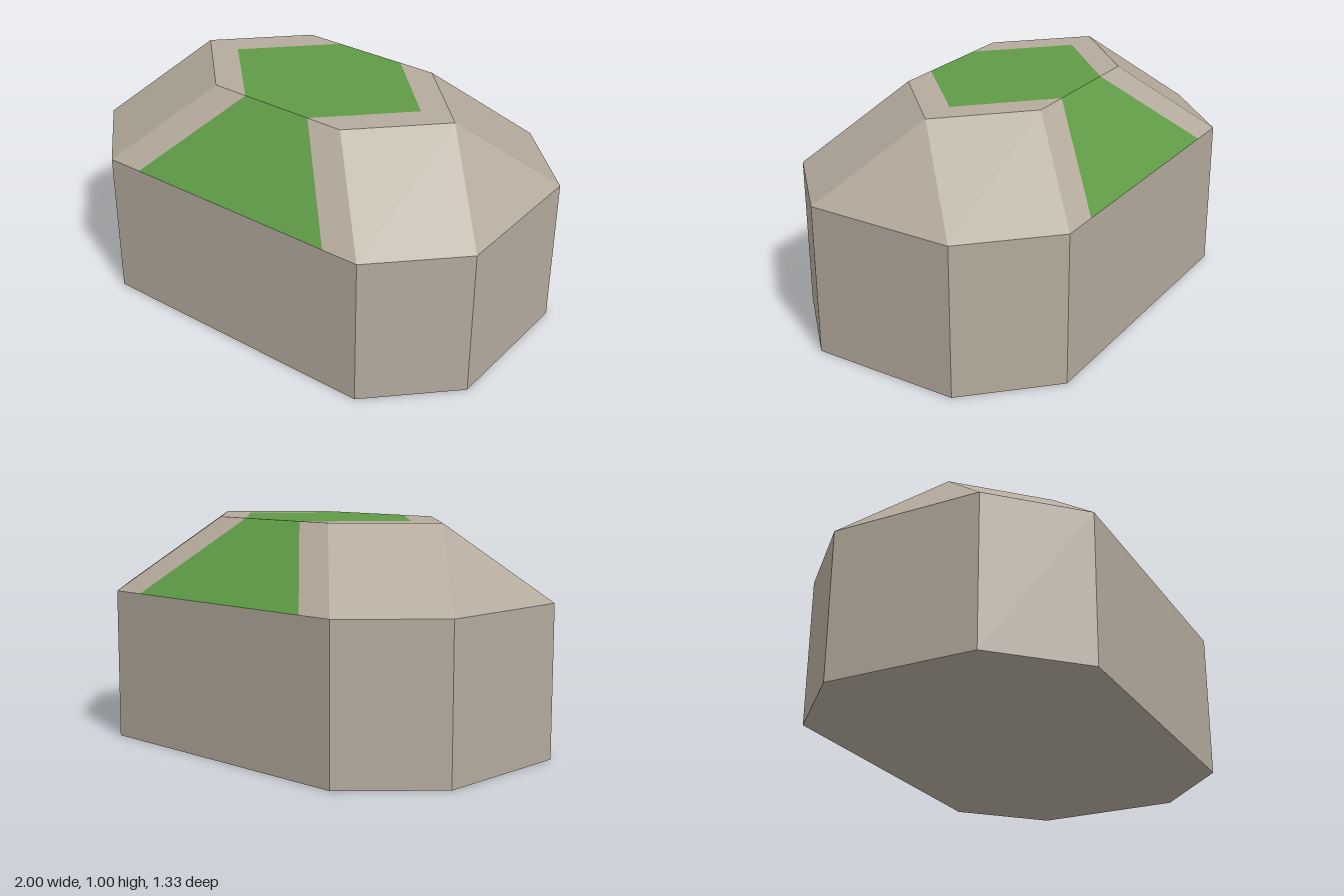
import * as THREE from 'three';

const T = 1 / 3; // basic module of the shape
const CENTRE = new THREE.Vector3(0, 0.5, 0);

// Flat convex facets as one mesh; each facet is turned to face away from the centre
function facetMesh(name, facets, color) {
  const positions = [];
  for (const facet of facets) {
    const p = facet.map((c) => new THREE.Vector3(...c));
    const normal = new THREE.Vector3().crossVectors(p[1].clone().sub(p[0]), p[2].clone().sub(p[0]));
    if (normal.dot(p[0].clone().sub(CENTRE)) < 0) p.reverse();
    for (let i = 1; i < p.length - 1; i++) {
      for (const v of [p[0], p[i], p[i + 1]]) positions.push(v.x, v.y, v.z);
    }
  }
  const geometry = new THREE.BufferGeometry();
  geometry.setAttribute('position', new THREE.Float32BufferAttribute(positions, 3));
  geometry.computeVertexNormals();
  const mesh = new THREE.Mesh(geometry, new THREE.MeshStandardMaterial({ color, flatShading: true }));
  mesh.name = name;
  return mesh;
}

export function createModel() {
  const group = new THREE.Group();
  group.name = 'bevelledBlock';
  const STONE = 0xb4aa9c, GREEN = 0x5f9a46;
  const signs = [1, -1];
  const eave = 2 * T, top = 1;

  // Octagonal plan of the walls
  const plan = [
    [2 * T, 2 * T], [1, T], [1, -T], [2 * T, -2 * T],
    [-2 * T, -2 * T], [-1, -T], [-1, T], [-2 * T, 2 * T],
  ];
  const walls = plan.map(([x, z], i) => {
    const [x2, z2] = plan[(i + 1) % plan.length];
    return [[x, 0, z], [x2, 0, z2], [x2, eave, z2], [x, eave, z]];
  });
  group.add(facetMesh('walls', walls, STONE));
  group.add(facetMesh('base', [plan.map(([x, z]) => [x, 0, z])], STONE));

  // Sloping roof around a hexagonal top, leaving room for the green strip
  const slopes = [], rim = [], greenSlopes = [];
  for (const sx of signs) {
    slopes.push([[sx, eave, T], [sx, eave, -T], [sx * 2 * T, top, 0]]); // end triangle
    for (const sz of signs) {
      // corner slope
      slopes.push([
        [sx * 2 * T, eave, sz * 2 * T], [sx, eave, sz * T],
        [sx * 2 * T, top, 0], [sx * T, top, sz * T],
      ]);
      // band beside the green strip
      slopes.push([
        [sx * 0.5, eave, sz * 2 * T], [sx * 2 * T, eave, sz * 2 * T],
        [sx * T, top, sz * T], [sx * T / 2, top, sz * T],
      ]);
      // flat rim on the top
      rim.push([
        [sx * 0.5, top, 0], [sx * 2 * T, top, 0],
        [sx * T, top, sz * T], [sx * T / 2, top, sz * T],
      ]);
    }
  }
  for (const sz of signs) {
    greenSlopes.push([
      [-0.5, eave, sz * 2 * T], [0.5, eave, sz * 2 * T],
      [T / 2, top, sz * T], [-T / 2, top, sz * T],
    ]);
  }
  group.add(facetMesh('roofSlopes', slopes, STONE));
  group.add(facetMesh('topRim', rim, STONE));
  group.add(facetMesh('greenSlopes', greenSlopes, GREEN));

  // Green hexagon in the flat top
  const hexagon = [
    [0.5, 0], [T / 2, T], [-T / 2, T], [-0.5, 0], [-T / 2, -T], [T / 2, -T],
  ].map(([x, z]) => [x, top, z]);
  group.add(facetMesh('greenTop', [hexagon], GREEN));

  return group;
}
